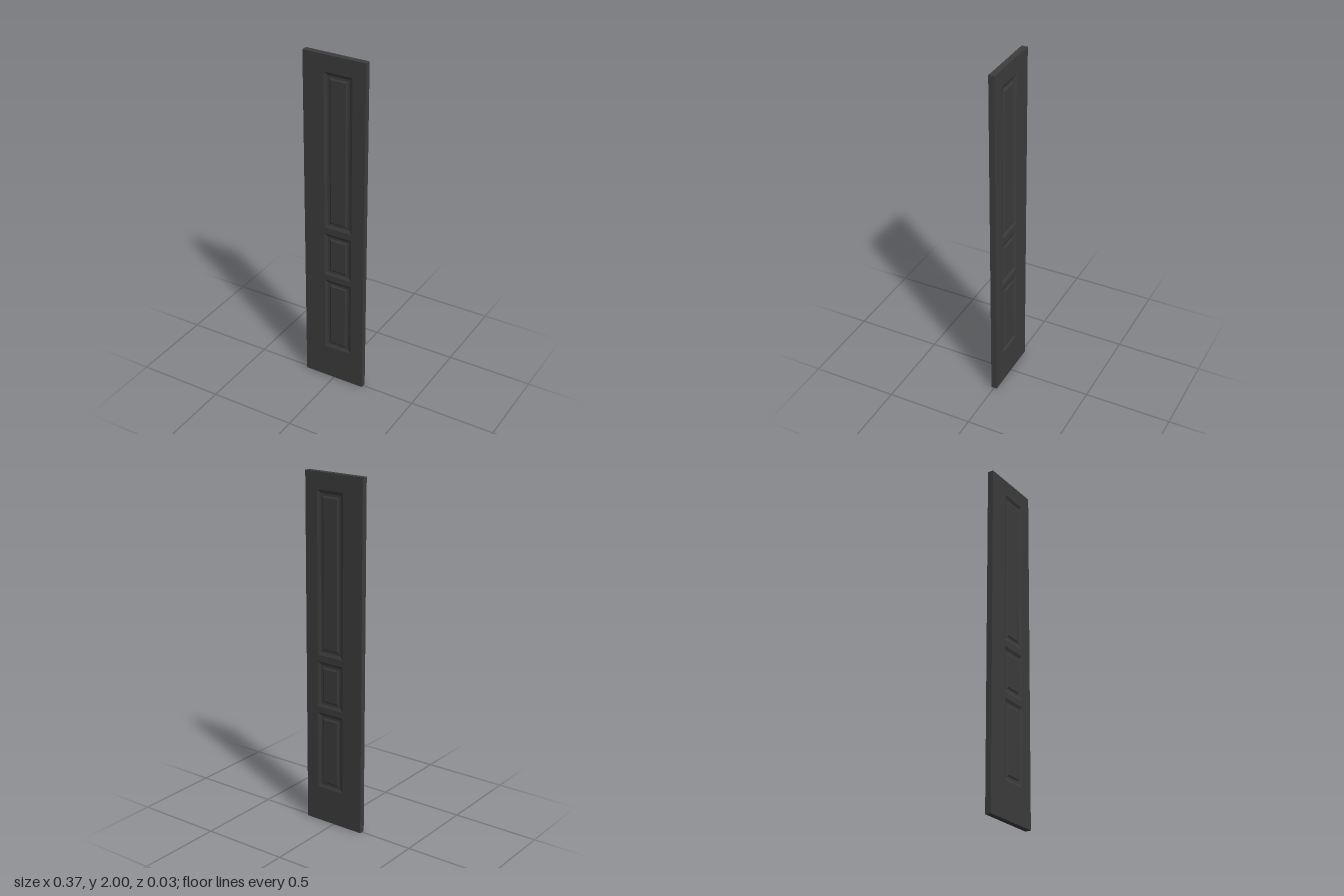
import * as THREE from 'three';

const W = 0.37, H = 2, T = 0.034;
const PANEL_X = 0.024, PANEL_W = 0.168;
// Bottom and top of each recessed panel
const PANELS = [
  { name: 'lowerPanel', y0: 0.206, y1: 0.66 },
  { name: 'middlePanel', y0: 0.694, y1: 0.958 },
  { name: 'upperPanel', y0: 0.996, y1: 1.906 },
];
// Moulding section: [inset from panel edge, depth relative to door face]
const PROFILE = [[0, 0], [0.017, -0.007], [0.03, -0.007], [0.039, -0.002]];

function rectangle(PathType, x0, y0, x1, y1) {
  return new PathType().moveTo(x0, y0).lineTo(x1, y0).lineTo(x1, y1).lineTo(x0, y1).closePath();
}

// Sloped moulding around a raised field, facing +z
function panelGeometry(w, h) {
  const positions = [], index = [];
  for (const [inset, z] of PROFILE) {
    const x = w / 2 - inset, y = h / 2 - inset;
    positions.push(-x, -y, z, x, -y, z, x, y, z, -x, y, z);
  }
  for (let r = 0; r < PROFILE.length - 1; r++) {
    for (let i = 0; i < 4; i++) {
      const a = r * 4 + i, b = r * 4 + (i + 1) % 4;
      index.push(a, b, b + 4, a, b + 4, a + 4);
    }
  }
  const c = (PROFILE.length - 1) * 4;
  index.push(c, c + 1, c + 2, c, c + 2, c + 3);
  const indexed = new THREE.BufferGeometry();
  indexed.setAttribute('position', new THREE.Float32BufferAttribute(positions, 3));
  indexed.setIndex(index);
  const geometry = indexed.toNonIndexed();
  geometry.computeVertexNormals();
  return geometry;
}

export function createModel() {
  const door = new THREE.Group();
  door.name = 'door';
  const material = new THREE.MeshStandardMaterial({ color: 0x3c3c3c });

  // Door slab with an opening for each panel
  const outline = rectangle(THREE.Shape, -W / 2, 0, W / 2, H);
  for (const { y0, y1 } of PANELS) {
    outline.holes.push(rectangle(THREE.Path, PANEL_X - PANEL_W / 2, y0, PANEL_X + PANEL_W / 2, y1));
  }
  const slab = new THREE.Mesh(
    new THREE.ExtrudeGeometry(outline, { depth: T, bevelEnabled: false }).translate(0, 0, -T / 2),
    material,
  );
  slab.name = 'doorSlab';
  door.add(slab);

  // Same panels on the front and the back
  for (const { name, y0, y1 } of PANELS) {
    const geometry = panelGeometry(PANEL_W, y1 - y0);
    for (const side of [1, -1]) {
      const panel = new THREE.Mesh(geometry, material);
      panel.name = name + (side > 0 ? 'Front' : 'Back');
      panel.position.set(PANEL_X, (y0 + y1) / 2, side * T / 2);
      panel.rotation.y = side > 0 ? 0 : Math.PI;
      door.add(panel);
    }
  }
  return door;
}
